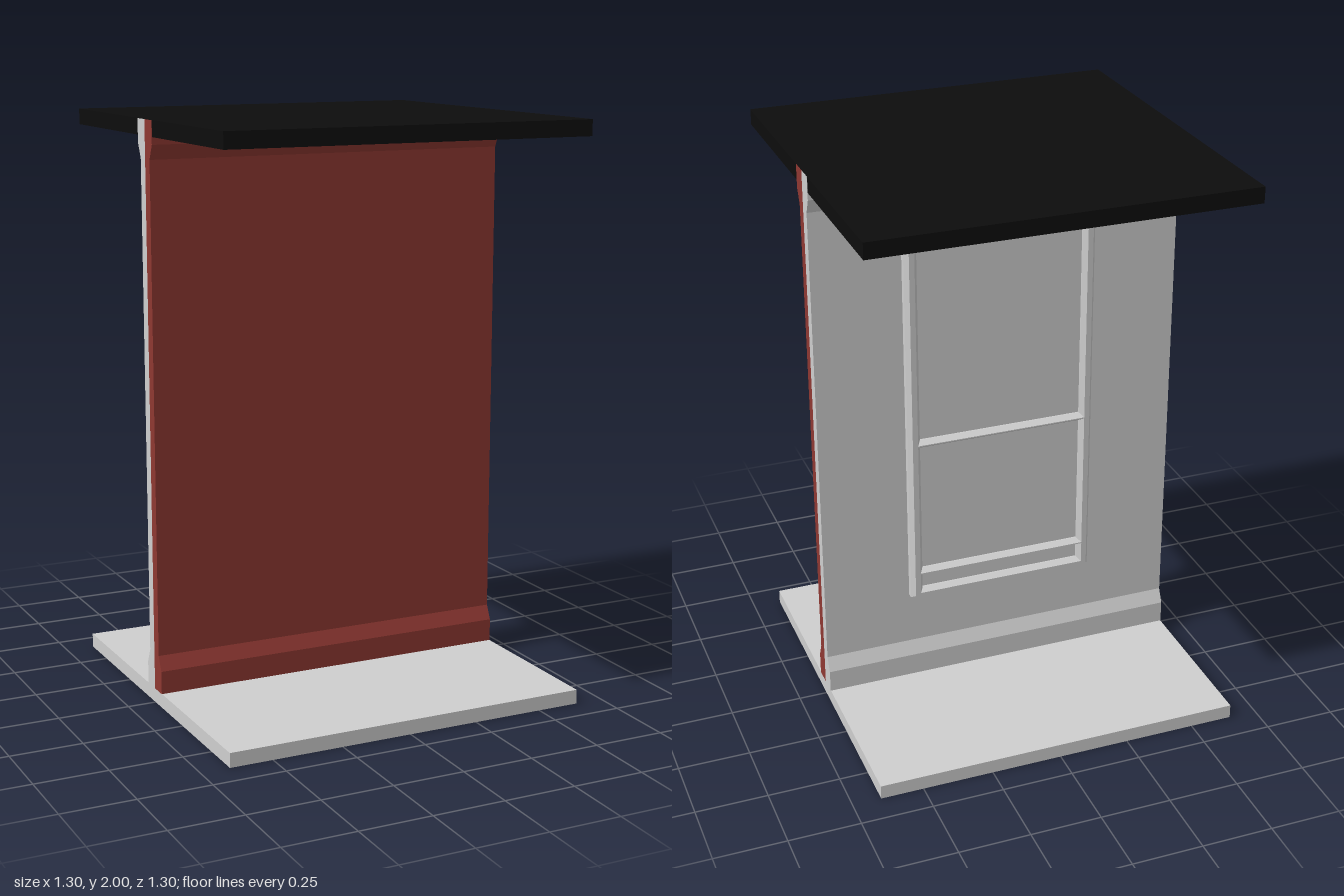
import * as THREE from 'three';

const red = new THREE.MeshStandardMaterial({ name: 'brick red', color: 0x8f3832 });
const grey = new THREE.MeshStandardMaterial({ name: 'light grey', color: 0xcfcfcf });
const black = new THREE.MeshStandardMaterial({ name: 'roof black', color: 0x0d0d0d });

function add(group, name, geometry, material, x = 0, y = 0, z = 0) {
  const mesh = new THREE.Mesh(geometry, material);
  mesh.name = name;
  mesh.position.set(x, y, z);
  group.add(mesh);
  return mesh;
}

// Half of the wall: thin in the middle, thickened at skirting and cornice
function wallHalf(side) {
  const profile = [[0, 0.05], [0.063, 0.05], [0.063, 0.13], [0.04, 0.18],
    [0.04, 1.87], [0.063, 1.92], [0.063, 1.999], [0, 1.999]];
  const shape = new THREE.Shape(profile.map(([z, y]) => new THREE.Vector2(z * side, y)));
  const length = 1.302;
  const geometry = new THREE.ExtrudeGeometry(shape, { depth: length, bevelEnabled: false });
  geometry.translate(0, 0, -length / 2);
  geometry.rotateY(-Math.PI / 2);
  return geometry;
}

function rect(path, halfWidth, bottom, top) {
  path.moveTo(-halfWidth, bottom);
  path.lineTo(halfWidth, bottom);
  path.lineTo(halfWidth, top);
  path.lineTo(-halfWidth, top);
  path.closePath();
  return path;
}

// Bevelled frame with three openings, facing the back
function panelFrame() {
  const shape = rect(new THREE.Shape(), 0.34, 0.375, 1.825);
  for (const [bottom, top] of [[0.41, 0.46], [0.49, 0.97], [1.0, 1.785]]) {
    shape.holes.push(rect(new THREE.Path(), 0.295, bottom, top));
  }
  const geometry = new THREE.ExtrudeGeometry(shape, {
    depth: 0.02, bevelEnabled: true, bevelThickness: 0.02,
    bevelSize: 0.013, bevelOffset: -0.013, bevelSegments: 1,
  });
  return geometry.rotateY(Math.PI);
}

export function createModel() {
  const model = new THREE.Group();
  model.name = 'wallSection';

  // Floor and roof slabs
  add(model, 'floorSlab', new THREE.BoxGeometry(1.3, 0.05, 1.3), grey, 0, 0.025, 0);
  add(model, 'roofSlab', new THREE.BoxGeometry(1.3, 0.055, 1.3), black, 0, 1.9725, 0);

  // Two-sided wall
  add(model, 'outerWall', wallHalf(1), red);
  add(model, 'innerWall', wallHalf(-1), grey);

  // Panelling on the back
  add(model, 'panelFrame', panelFrame(), grey, 0, 0, -0.04);
  add(model, 'panelBacking', new THREE.BoxGeometry(0.64, 1.41, 0.02), grey, 0, 1.1, -0.045);

  return model;
}
